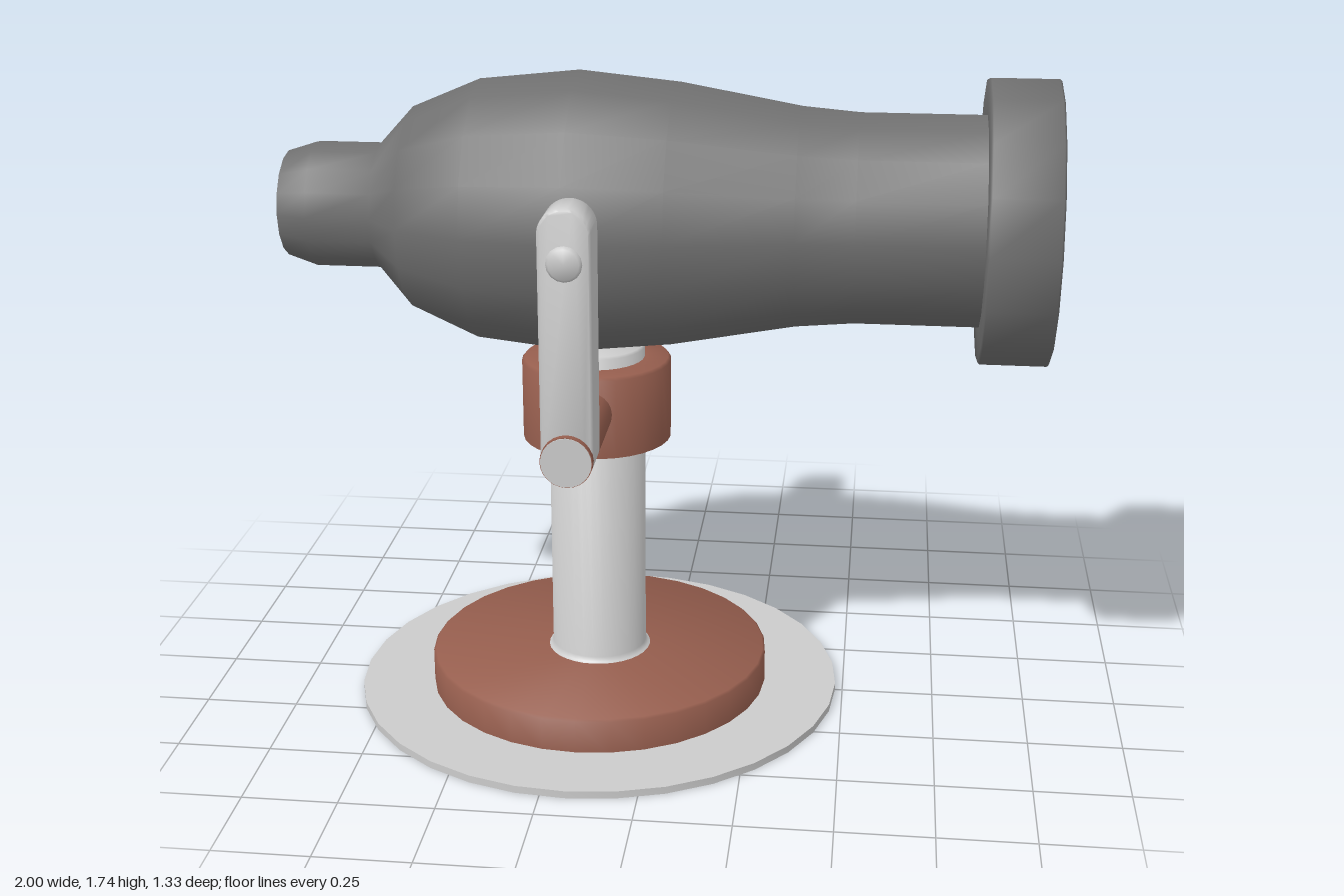
import * as THREE from 'three';
import { toCreasedNormals } from 'three/addons/utils/BufferGeometryUtils.js';

const steel = new THREE.MeshStandardMaterial({ color: 0xcccccc });
const iron = new THREE.MeshStandardMaterial({ color: 0x707070 });
const wood = new THREE.MeshStandardMaterial({ color: 0x965e4e });

const AXIS_X = -0.185; // vertical axis of the stand
const BORE_Y = 1.365; // height of the barrel axis
const BAR_Y = 0.865; // height of the crossbar

function add(parent, name, geometry, material, x = 0, y = 0, z = 0) {
  const mesh = new THREE.Mesh(geometry, material);
  mesh.name = name;
  mesh.position.set(x, y, z);
  parent.add(mesh);
  return mesh;
}

// Turned solid from [radius, height] pairs, bottom to top
function turned(profile, sides, crease = 0.9) {
  const points = profile.map(([r, h]) => new THREE.Vector2(r, h));
  return toCreasedNormals(new THREE.LatheGeometry(points, sides), crease);
}

// Turned solid lying along z
function turnedZ(profile, sides) {
  return turned(profile, sides).rotateX(Math.PI / 2);
}

// Upright bar with rounded ends, centred on its thickness
function armGeometry(radius, length, depth) {
  const bevel = 0.006;
  const r = radius - bevel;
  const shape = new THREE.Shape();
  shape.absarc(0, 0, r, Math.PI, 2 * Math.PI, false);
  shape.absarc(0, length, r, 0, Math.PI, false);
  shape.closePath();
  const geometry = new THREE.ExtrudeGeometry(shape, {
    depth: depth - 2 * bevel, bevelThickness: bevel, bevelSize: bevel,
    bevelSegments: 1, curveSegments: 12,
  });
  geometry.translate(0, 0, bevel - depth / 2);
  return toCreasedNormals(geometry, 0.9);
}

export function createModel() {
  const model = new THREE.Group();
  model.name = 'swivelCannon';

  // Stand: ground plate, plinth, post and collar
  const stand = new THREE.Group();
  stand.name = 'stand';
  stand.position.x = AXIS_X;
  model.add(stand);
  add(stand, 'groundPlate', turned([[0, 0], [0.665, 0], [0.665, 0.02], [0, 0.02]], 32), steel);
  add(stand, 'plinth', turned([[0, 0.01], [0.466, 0.01], [0.466, 0.109], [0.46, 0.115], [0, 0.115]], 32), wood);
  add(stand, 'post', turned([
    [0.147, 0.112], [0.136, 0.118], [0.13, 0.13], [0.13, 0.994], [0.124, 1], [0, 1],
  ], 32), steel);
  add(stand, 'collar', turned([
    [0.128, 0.725], [0.145, 0.725], [0.2, 0.743], [0.2, 0.958], [0.193, 0.966], [0.128, 0.966],
  ], 32), wood);

  // Crossbar through the collar, with capped ends
  add(stand, 'crossbar', new THREE.CylinderGeometry(0.066, 0.066, 1.086, 24).rotateX(Math.PI / 2), wood, 0, BAR_Y, 0);
  for (const side of [1, -1]) {
    add(stand, side > 0 ? 'frontBarCap' : 'backBarCap',
      new THREE.CylinderGeometry(0.064, 0.064, 0.006, 24).rotateX(Math.PI / 2), steel, 0, BAR_Y, side * 0.543);
    add(stand, side > 0 ? 'frontArm' : 'backArm',
      armGeometry(0.066, 0.57, 0.115), steel, 0, BAR_Y, side * 0.468);
  }

  // Pivot pins, the back one with a washer and an end ring
  add(stand, 'frontPin', turnedZ([[0, 0.3], [0.045, 0.3], [0.045, 0.526], [0.038, 0.533], [0, 0.533]], 16), steel, 0, BORE_Y, 0);
  add(stand, 'backPin', turnedZ([
    [0, -0.585], [0.038, -0.585], [0.045, -0.578], [0.045, -0.3], [0, -0.3],
  ], 16), steel, 0, BORE_Y, 0);
  const rings = [['backWasher', 0.085, 0.028, -0.384], ['backPinRing', 0.07, 0.027, -0.543]];
  for (const [name, r, t, z] of rings) {
    add(stand, name, new THREE.CylinderGeometry(r, r, t, 24).rotateX(Math.PI / 2), steel, 0, BORE_Y, z);
  }

  // Barrel: breech knob, swelling body, muzzle band and bore
  const barrel = turned([
    [0, -1], [0.14, -1], [0.166, -0.92], [0.166, -0.75], [0.265, -0.66],
    [0.342, -0.48], [0.37, -0.22], [0.345, 0.03], [0.288, 0.35], [0.275, 0.5],
    [0.275, 0.82], [0.365, 0.82], [0.37, 0.825], [0.37, 0.995], [0.365, 1],
    [0.17, 1], [0.17, 0.55], [0.12, 0.46], [0, 0.42],
  ], 16).rotateZ(-Math.PI / 2);
  add(model, 'barrel', barrel, iron, 0, BORE_Y, 0);

  return model;
}
